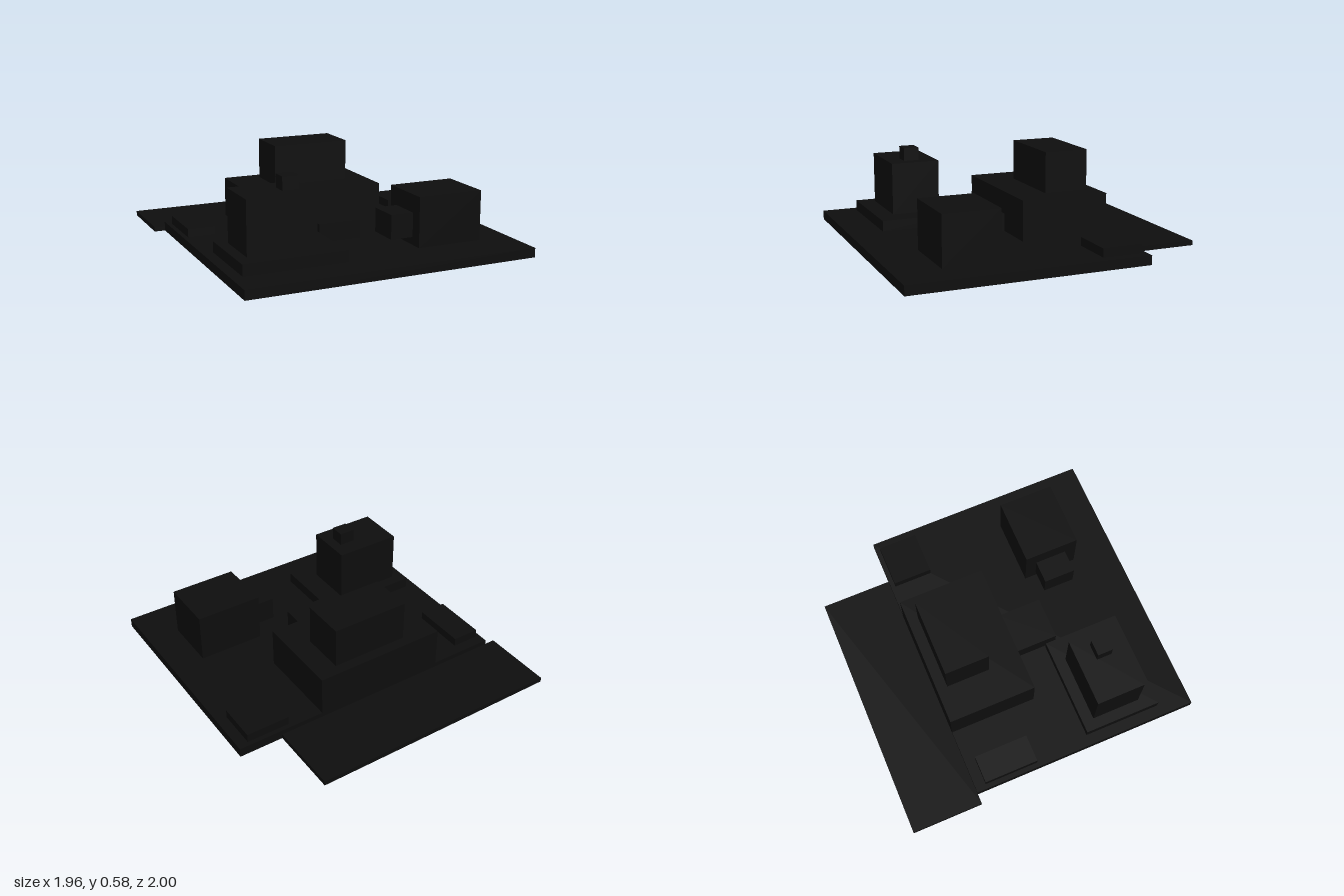
import * as THREE from 'three';

// One dark finish for the whole block model
const charcoal = new THREE.MeshStandardMaterial({ color: 0x0d0d0d });
charcoal.name = 'charcoal';

// Box given by its extents along each axis
function block(name, [x0, x1], [y0, y1], [z0, z1]) {
  const geometry = new THREE.BoxGeometry(x1 - x0, y1 - y0, z1 - z0);
  const mesh = new THREE.Mesh(geometry, charcoal);
  mesh.name = name;
  mesh.position.set((x0 + x1) / 2, (y0 + y1) / 2, (z0 + z1) / 2);
  return mesh;
}

export function createModel() {
  const model = new THREE.Group();
  model.name = 'buildingComplex';

  // Ground slabs
  model.add(
    block('mainSlab', [-0.91, 0.98], [0, 0.06], [-0.53, 1]),
    block('rearSlab', [-0.98, 0.69], [0, 0.03], [-1, -0.53]),
  );

  // Main building: wide base, upper storey and front porch
  const mainBuilding = new THREE.Group();
  mainBuilding.name = 'mainBuilding';
  mainBuilding.add(
    block('mainBase', [-0.48, 0.4], [0.06, 0.32], [-0.53, 0.05]),
    block('upperStorey', [-0.255, 0.255], [0.32, 0.585], [-0.46, -0.17]),
    block('frontPorch', [-0.17, 0.11], [0.06, 0.175], [0.05, 0.345]),
  );

  // Tower on a plinth with a chimney
  const tower = new THREE.Group();
  tower.name = 'tower';
  tower.add(
    block('towerPlinth', [-0.84, -0.18], [0.06, 0.13], [0.27, 0.78]),
    block('towerBody', [-0.77, -0.33], [0.13, 0.47], [0.345, 0.665]),
    block('chimney', [-0.505, -0.4], [0.47, 0.555], [0.46, 0.56]),
  );

  // Side building with a raised bay
  const sideBuilding = new THREE.Group();
  sideBuilding.name = 'sideBuilding';
  sideBuilding.add(
    block('sideBody', [0.33, 0.765], [0.06, 0.38], [0.345, 0.71]),
    block('sideBay', [0.18, 0.33], [0.11, 0.265], [0.42, 0.63]),
  );

  // Low outbuildings at the back corners
  model.add(
    mainBuilding, tower, sideBuilding,
    block('leftOutbuilding', [0.625, 0.91], [0.06, 0.115], [-0.5, -0.24]),
    block('rightOutbuilding', [-0.88, -0.7], [0.06, 0.115], [-0.46, -0.1]),
  );
  return model;
}
